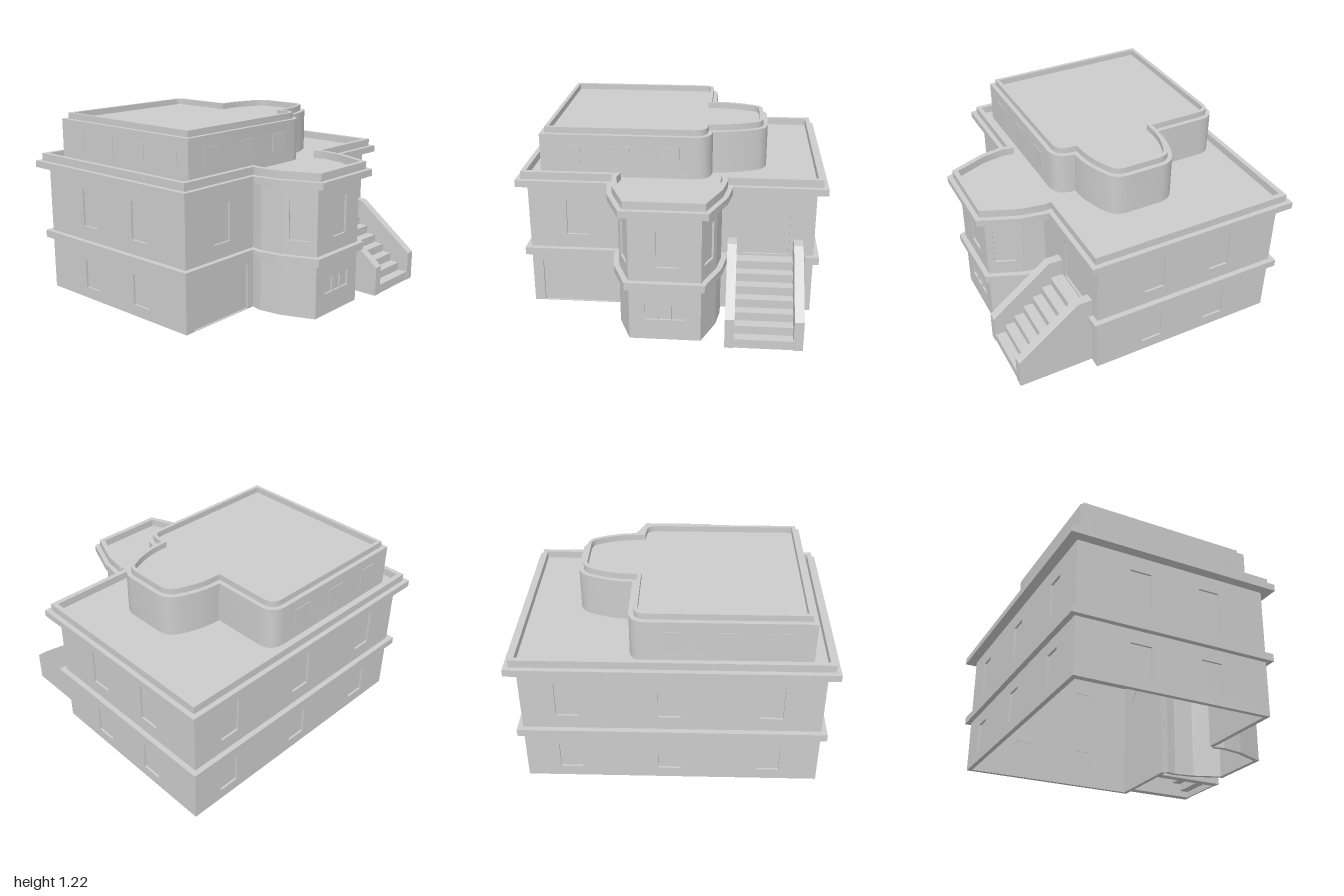
import * as THREE from 'three';
import { toCreasedNormals } from 'three/addons/utils/BufferGeometryUtils.js';

const material = new THREE.MeshStandardMaterial({ color: 0xcccccc, side: THREE.DoubleSide });
const T = 0.03; // wall thickness

function addMesh(parent, name, geometry) {
  const mesh = new THREE.Mesh(geometry, material);
  mesh.name = name;
  parent.add(mesh);
  return mesh;
}

function addBox(parent, name, w, h, d, x, y, z) {
  addMesh(parent, name, new THREE.BoxGeometry(w, h, d)).position.set(x, y, z);
}

// Move a closed plan outline of [x, z] points outward by a distance
function offset(points, dist) {
  const n = points.length;
  const normal = (a, b) => {
    const dx = b[0] - a[0], dz = b[1] - a[1], l = Math.hypot(dx, dz);
    return [-dz / l, dx / l];
  };
  return points.map((p, i) => {
    const n1 = normal(points[(i + n - 1) % n], p);
    const n2 = normal(p, points[(i + 1) % n]);
    const k = dist / (1 + n1[0] * n2[0] + n1[1] * n2[1]);
    return [p[0] + (n1[0] + n2[0]) * k, p[1] + (n1[1] + n2[1]) * k];
  });
}

// Raise a plan outline, with an optional hole, from y0 to y1
function slab(parent, name, outer, y0, y1, inner) {
  const plan = (pts) => pts.map(([x, z]) => new THREE.Vector2(x, -z));
  const shape = new THREE.Shape(plan(outer));
  if (inner) shape.holes.push(new THREE.Path(plan(inner)));
  const g = new THREE.ExtrudeGeometry(shape, { depth: y1 - y0, bevelEnabled: false });
  g.rotateX(-Math.PI / 2);
  g.translate(0, y0, 0);
  return addMesh(parent, name, toCreasedNormals(g, 0.5));
}

// Opening outline: rectangle with optionally rounded top corners
function openingPath({ u, y, w, h, r = 0 }) {
  const p = new THREE.Path();
  const l = u - w / 2, e = u + w / 2, t = y + h;
  p.moveTo(l, y);
  p.lineTo(e, y);
  p.lineTo(e, t - r);
  if (r) p.absarc(e - r, t - r, r, 0, Math.PI / 2);
  p.lineTo(l + r, t);
  if (r) p.absarc(l + r, t - r, r, Math.PI / 2, Math.PI);
  p.lineTo(l, y);
  return p;
}

// Wall from a to b with recessed panels in its openings; u runs along the wall
function addWall(parent, name, a, b, openings = []) {
  const dx = b[0] - a[0], dz = b[1] - a[1], length = Math.hypot(dx, dz);
  const group = new THREE.Group();
  group.name = name;
  group.position.set(a[0], 0, a[1]);
  group.rotation.y = Math.atan2(-dz, dx);
  const shape = new THREE.Shape();
  shape.moveTo(0, 0).lineTo(length, 0).lineTo(length, 0.89).lineTo(0, 0.89);
  for (const o of openings) {
    shape.holes.push(openingPath(o));
    addBox(group, o.name, o.w, o.h, 0.012, o.u, o.y + o.h / 2, -0.02);
  }
  const g = new THREE.ExtrudeGeometry(shape, { depth: T, bevelEnabled: false, curveSegments: 8 });
  addMesh(group, 'wallPanel', toCreasedNormals(g, 0.5)).position.z = -T;
  parent.add(group);
}

const upperWindow = (u, w = 0.14) => ({ name: 'upperWindow', u, y: 0.505, w, h: 0.25 });
const lowerWindow = (u, w = 0.14) => ({ name: 'lowerWindow', u, y: 0.075, w, h: 0.2 });

export function createModel() {
  const house = new THREE.Group();
  house.name = 'house';

  // Plan of the two lower storeys: main rectangle with a front bay
  const bayLeft = [[-0.32, 0.425], [-0.335, 0.5], [-0.31, 0.65], [-0.225, 0.86]];
  const bay = [...bayLeft, ...bayLeft.map(([x, z]) => [-x, z]).reverse()];
  const plan = [[0.935, 0.425], [0.935, -0.865], [-0.935, -0.865], [-0.935, 0.425], ...bay];

  // Openings for each wall, in plan order
  const sideOpenings = (us) => us.flatMap((u) => [upperWindow(u), lowerWindow(u)]);
  const openings = {
    0: sideOpenings([0.4, 0.875]),
    1: sideOpenings([0.285, 0.92, 1.555]),
    2: sideOpenings([0.415, 0.89]),
    3: [{ name: 'garageDoor', u: 0.315, y: 0.003, w: 0.49, h: 0.302 }, upperWindow(0.318)],
    6: [upperWindow(0.113, 0.135)],
    7: [upperWindow(0.24), ...[0, 1, 2].map((i) =>
      ({ name: 'basementWindow', u: 0.137 + i * 0.086, y: 0.14, w: 0.08, h: 0.1 }))],
    8: [upperWindow(0.113, 0.135)],
    11: [{ name: 'entranceDoor', u: 0.305, y: 0.41, w: 0.3, h: 0.395, r: 0.13 }],
  };
  plan.forEach((p, i) =>
    addWall(house, 'wall' + (i + 1), p, plan[(i + 1) % plan.length], openings[i]));

  // Storey band, interrupted at the entrance
  const bandPlan = [[0.88, 0.425], ...plan, [0.375, 0.425]];
  slab(house, 'storeyBand', [...offset(bandPlan, 0.035), ...offset(bandPlan, -0.005).reverse()], 0.36, 0.41);

  // Cornice, parapet and main roof
  slab(house, 'cornice', offset(plan, 0.065), 0.855, 0.9, offset(plan, -0.01));
  slab(house, 'parapet', offset(plan, 0.033), 0.9, 0.95, plan);
  slab(house, 'mainRoof', offset(plan, -0.002), 0.88, 0.9);

  // Rooftop storey with rounded corners and a side bow
  const path = new THREE.Path();
  path.moveTo(-0.85, 0.375);
  path.lineTo(0.15, 0.375);
  path.quadraticCurveTo(0.26, 0.365, 0.26, 0.24);
  path.quadraticCurveTo(0.4, 0.24, 0.54, 0.17);
  path.quadraticCurveTo(0.61, 0.14, 0.615, 0.06);
  path.lineTo(0.615, -0.185);
  path.quadraticCurveTo(0.61, -0.265, 0.54, -0.3);
  path.quadraticCurveTo(0.4, -0.365, 0.26, -0.365);
  path.lineTo(0.26, -0.7);
  path.quadraticCurveTo(0.26, -0.815, 0.15, -0.815);
  path.lineTo(-0.85, -0.815);
  const top = path.getPoints(6).map((p) => [p.x, p.y]);
  slab(house, 'rooftopStorey', top, 0.9, 1.18);
  slab(house, 'rooftopParapet', offset(top, -0.03), 1.18, 1.22, offset(top, -0.055));

  // Shallow window panels of the rooftop storey
  for (const x of [-0.65, -0.33, -0.01]) {
    for (const z of [0.375, -0.815]) addBox(house, 'rooftopWindow', 0.13, 0.12, 0.008, x, 1.05, z);
  }
  for (const z of [-0.65, -0.36, -0.07, 0.22]) {
    addBox(house, 'rooftopWindow', 0.008, 0.12, 0.13, -0.85, 1.05, z);
  }

  // Entrance stairs; side profiles are drawn in (z, y) and extruded across x
  const stairs = new THREE.Group();
  stairs.name = 'entranceStairs';
  house.add(stairs);
  const acrossX = (name, pts, x0, x1) => {
    const shape = new THREE.Shape(pts.map(([z, y]) => new THREE.Vector2(-z, y)));
    const g = new THREE.ExtrudeGeometry(shape, { depth: x1 - x0, bevelEnabled: false });
    g.rotateY(Math.PI / 2);
    addMesh(stairs, name, g).position.x = x0;
  };
  const cheek = [[0.42, 0], [0.925, 0], [0.925, 0.2], [0.52, 0.52], [0.42, 0.52]];
  acrossX('stairSideWall', cheek, 0.375, 0.435);
  acrossX('stairSideWall', cheek, 0.8, 0.86);

  // Folded stair slab: upper line forward, under line back
  const run = 0.068, rise = 0.056, t = 0.015;
  const over = [[0.92, 0]], under = [[0.92 - t, 0]];
  for (let i = 0; i < 7; i++) {
    const z = 0.92 - i * run, y = 0.06 + i * rise;
    const back = i === 6 ? 0.42 : z - run;
    over.push([z, y], [back, y]);
    under.push([z - t, y - t], [i === 6 ? back : back - t, y - t]);
  }
  acrossX('steps', [...over, ...under.reverse()], 0.435, 0.8);

  return house;
}
